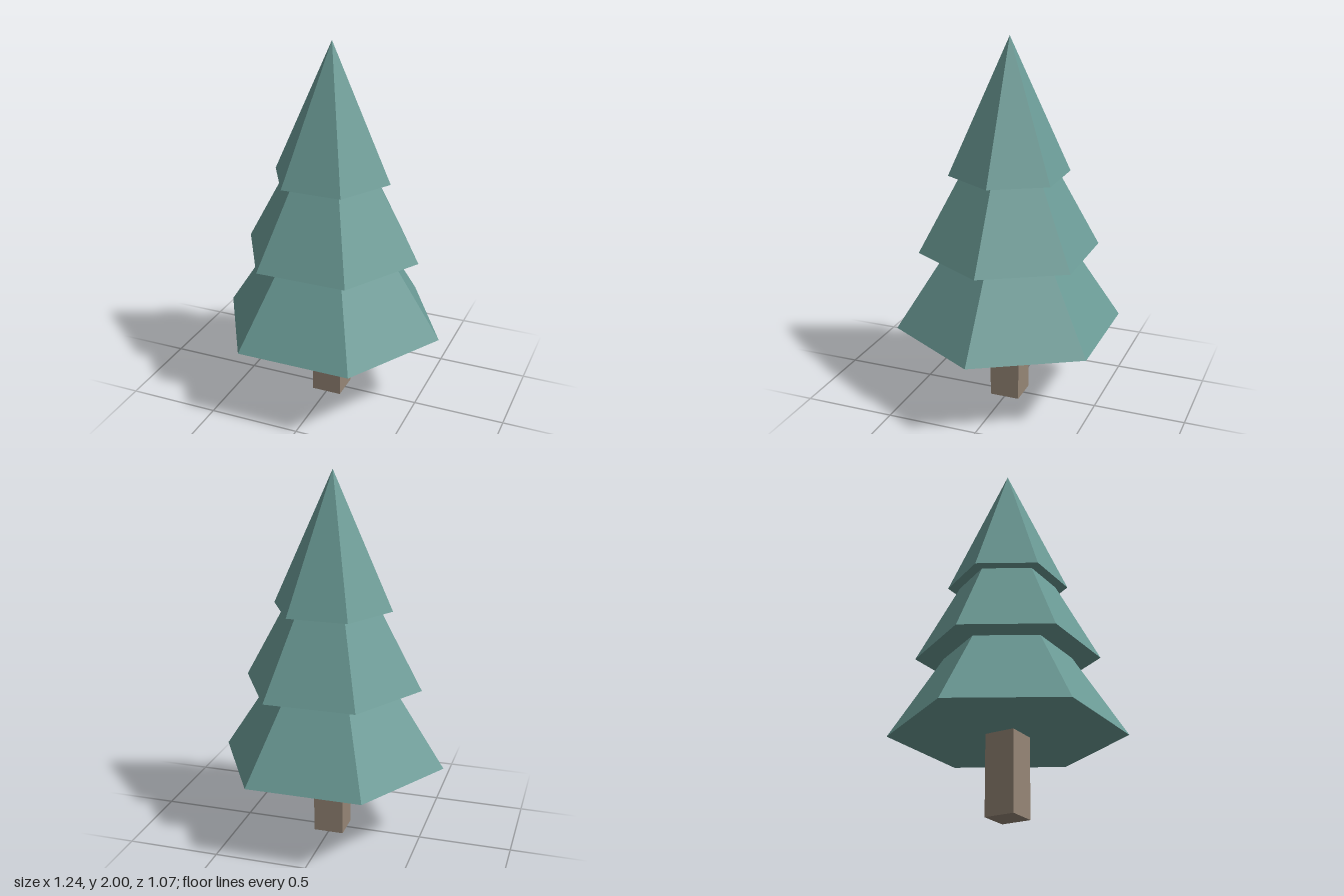
import * as THREE from 'three';

export function createModel() {
  const tree = new THREE.Group();
  tree.name = 'tree';

  const foliage = new THREE.MeshStandardMaterial({ color: 0x6b9b96, flatShading: true });
  foliage.name = 'foliage green';
  const bark = new THREE.MeshStandardMaterial({ color: 0x968676, flatShading: true });
  bark.name = 'bark brown';

  // Square trunk, ending at the underside of the lowest tier
  const trunkHeight = 0.43;
  const trunk = new THREE.Mesh(new THREE.BoxGeometry(0.165, trunkHeight, 0.165), bark);
  trunk.name = 'trunk';
  trunk.position.y = trunkHeight / 2;
  tree.add(trunk);

  // Six-sided cones, corners on the x axis, each tip hidden in the tier above
  const tiers = [
    { name: 'lowerTier', base: 0.43, tip: 1.38, radius: 0.62 },
    { name: 'middleTier', base: 0.86, tip: 1.76, radius: 0.49 },
    { name: 'upperTier', base: 1.28, tip: 2, radius: 0.326 },
  ];
  for (const { name, base, tip, radius } of tiers) {
    const cone = new THREE.ConeGeometry(radius, tip - base, 6, 1, false, Math.PI / 2);
    const tier = new THREE.Mesh(cone, foliage);
    tier.name = name;
    tier.position.y = (base + tip) / 2;
    tree.add(tier);
  }
  return tree;
}
